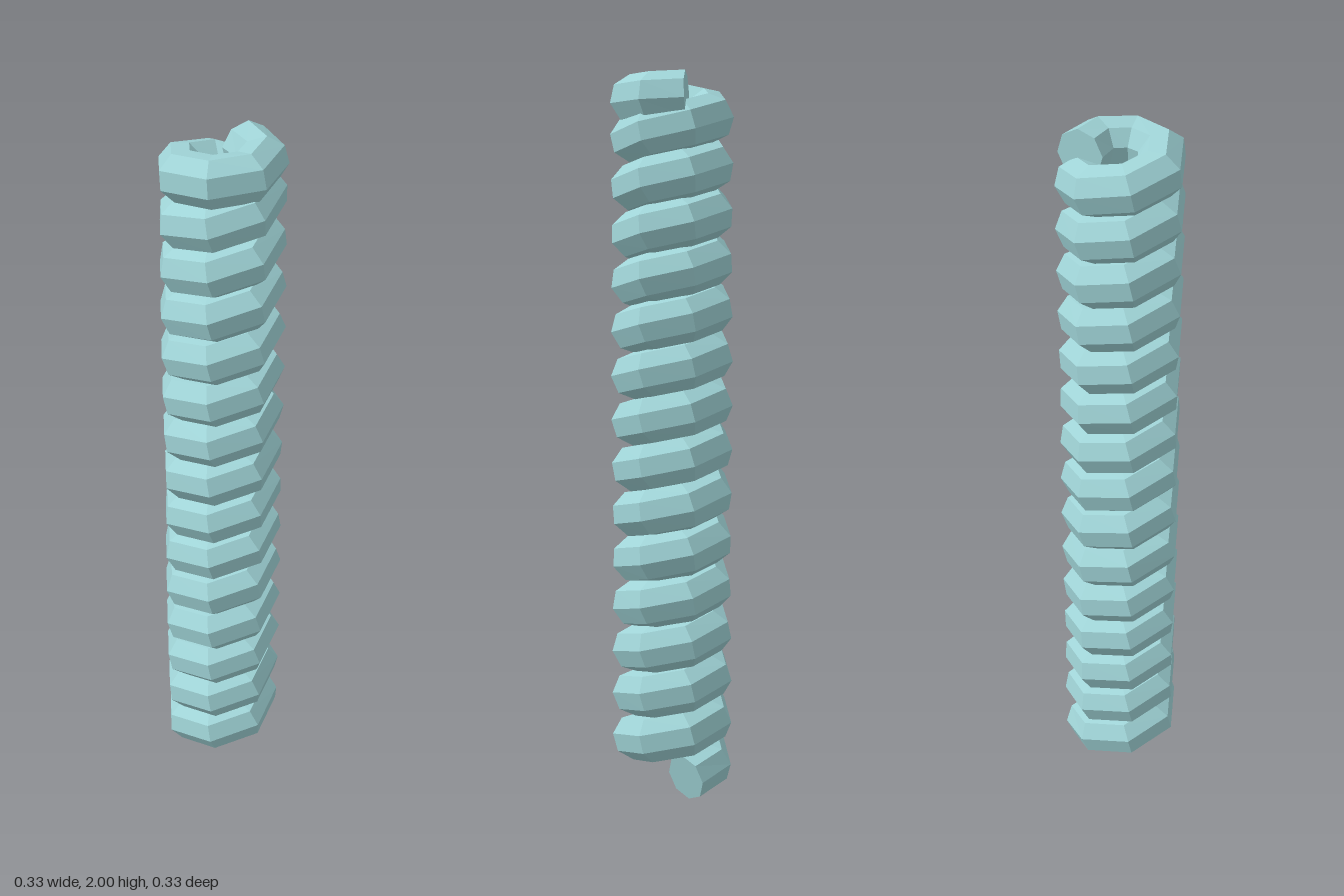
import * as THREE from 'three';

const TURNS = 15, STEPS = 7, SIDES = 8;      // seven straight pieces per turn
const COIL_R = 0.1055, TUBE_R = 0.066, PITCH = 0.128;
const COUNT = TURNS * STEPS;

// Corner i of the coil's centre line; the last half turn levels off
function corner(i) {
  const turn = i / STEPS, a = turn * Math.PI * 2;
  const level = TURNS - 0.5;
  const y = TUBE_R + PITCH * Math.min(turn, level) + 0.024 * Math.max(0, turn - level);
  return new THREE.Vector3(COIL_R * Math.cos(a) - 0.008, y, -COIL_R * Math.sin(a));
}

// Straight-sided helix, so rings sit on the mitre of each corner
class CoilPath extends THREE.Curve {
  getPoint(t, target = new THREE.Vector3()) {
    const i = Math.min(Math.floor(t * COUNT + 1e-9), COUNT - 1);
    return target.copy(corner(i)).lerp(corner(i + 1), t * COUNT - i);
  }
  getPointAt(t, target) { return this.getPoint(t, target); }
  getTangentAt(t, target) { return this.getTangent(t, target); }
}

// Flat disc closing one end ring of the tube
function endCap(tube, ring) {
  const pos = tube.attributes.position, pts = [], index = [];
  for (let j = 0; j < SIDES; j++) {
    pts.push(new THREE.Vector3().fromBufferAttribute(pos, ring * (SIDES + 1) + j));
    if (j > 1) index.push(0, j - 1, j);
  }
  const geo = new THREE.BufferGeometry().setFromPoints(pts);
  geo.setIndex(index);
  geo.computeVertexNormals();
  return geo;
}

export function createModel() {
  const group = new THREE.Group();
  group.name = 'coiledSpring';
  const material = new THREE.MeshStandardMaterial({
    color: 0x9fd3d6, flatShading: true, side: THREE.DoubleSide,
  });
  const add = (name, geo) => {
    const mesh = new THREE.Mesh(geo, material);
    mesh.name = name;
    group.add(mesh);
  };

  const tube = new THREE.TubeGeometry(new CoilPath(), COUNT, TUBE_R, SIDES, false);
  add('coil', tube);
  add('bottomEnd', endCap(tube, 0));
  add('topEnd', endCap(tube, COUNT));
  return group;
}
